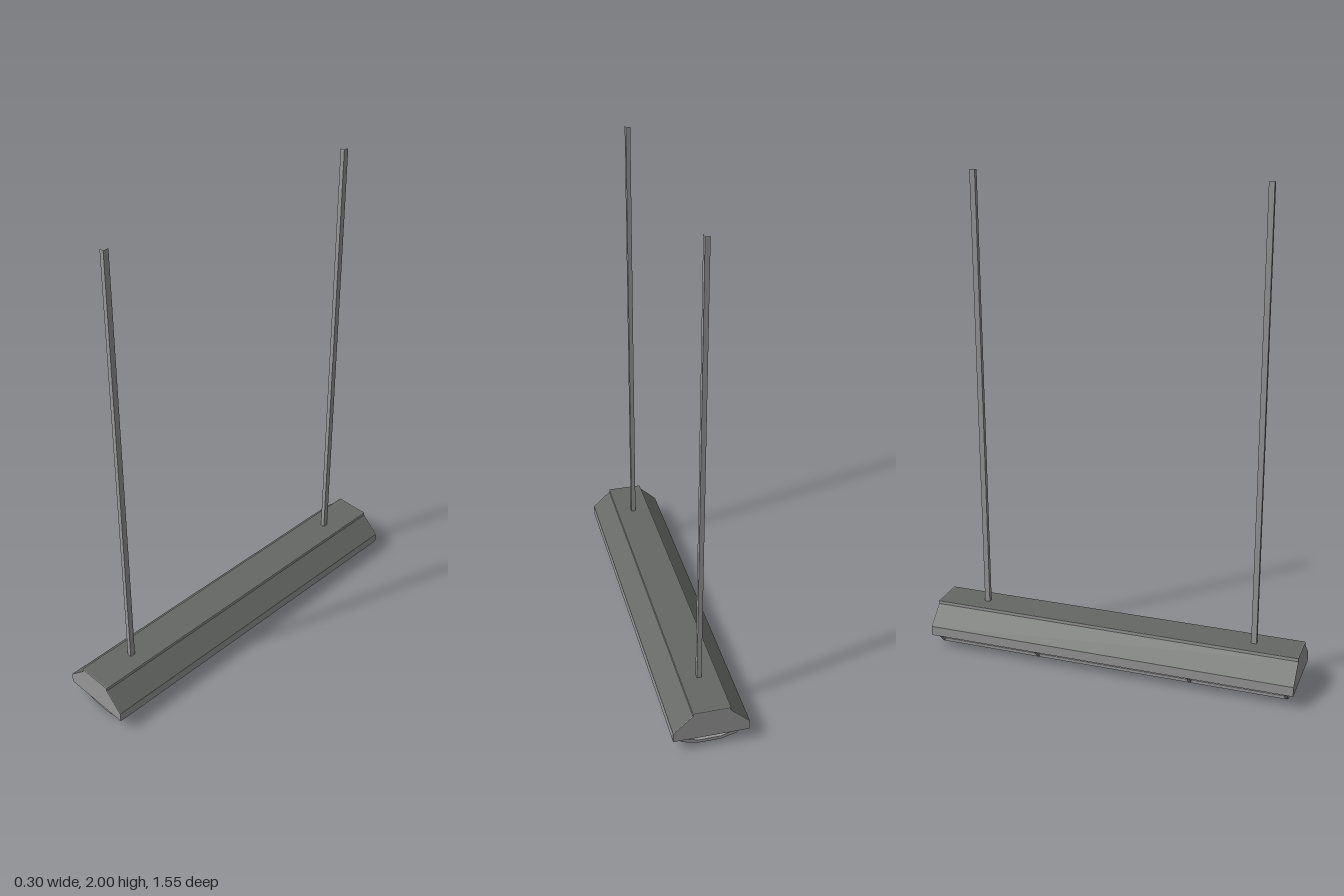
import * as THREE from 'three';

const paint = (name, color) => new THREE.MeshStandardMaterial({ name, color });

export function createModel() {
  const model = new THREE.Group();
  model.name = 'hangingLamp';
  const grey = paint('metalGrey', 0x989898);
  const roofGrey = paint('roofGrey', 0x656864);
  const pale = paint('reflectorPale', 0xc8c8c8);
  const white = paint('tubeWhite', 0xe6e6e6);

  const add = (name, geometry, material, x = 0, y = 0, z = 0) => {
    const mesh = new THREE.Mesh(geometry, material);
    mesh.name = name;
    mesh.position.set(x, y, z);
    model.add(mesh);
    return mesh;
  };
  // Cross-section in x and y, extruded along z and centred
  const prism = (points, length) => {
    const shape = new THREE.Shape(points.map(([x, y]) => new THREE.Vector2(x, y)));
    return new THREE.ExtrudeGeometry(shape, { depth: length, bevelEnabled: false }).translate(0, 0, -length / 2);
  };
  const LENGTH = 1.544, CAP = 0.003;

  // Sloping roof of the housing with a raised flat top
  const roof = [[-0.15, 0.1], [0.15, 0.1], [0.073, 0.172], [0.073, 0.185], [-0.073, 0.185], [-0.073, 0.172]];
  add('roof', prism(roof, LENGTH), roofGrey);

  // End caps, lower lips and the upright edges of the raised top
  const cap = [[-0.15, 0.06], [0.15, 0.06], ...roof.slice(1), [-0.15, 0.1]];
  for (const s of [1, -1]) {
    add('endCap', prism(cap, CAP), grey, 0, 0, s * (LENGTH + CAP) / 2);
    add('sideLip', new THREE.BoxGeometry(0.012, 0.04, LENGTH), grey, s * 0.144, 0.08, 0);
    add('crownEdge', new THREE.BoxGeometry(0.001, 0.013, LENGTH), grey, s * 0.0735, 0.1785, 0);
  }

  // Reflector and two lamp tubes inside the housing
  add('reflector', new THREE.BoxGeometry(0.276, 0.006, LENGTH), pale, 0, 0.097, 0);
  for (const x of [-0.065, 0.065]) {
    add('lampTube', new THREE.CylinderGeometry(0.016, 0.016, 1.5, 12).rotateX(Math.PI / 2), white, x, 0.077, 0);
  }

  // Guard ribs: faceted hoops under the housing
  const outer = [[-0.145, 0.06], [-0.108, 0.022], [-0.045, 0.004], [0.045, 0.004], [0.108, 0.022], [0.145, 0.06]];
  const inner = [[0.13, 0.06], [0.1, 0.035], [0.043, 0.018], [-0.043, 0.018], [-0.1, 0.035], [-0.13, 0.06]];
  for (const z of [0.743, 0.35, -0.305, -0.74]) {
    add('guardRib', prism([...outer, ...inner], 0.012), grey, 0, 0, z);
  }

  // Guard rails along the lamp
  for (const [x, y] of [[-0.103, 0.027], [-0.044, 0.011], [0.044, 0.011], [0.103, 0.027]]) {
    add('guardRail', new THREE.BoxGeometry(0.014, 0.013, 1.49), grey, x, y, 0);
  }

  // Suspension rods: slim rectangular tubes
  const rod = new THREE.CylinderGeometry(Math.SQRT1_2, Math.SQRT1_2, 1.815, 4, 1, true)
    .rotateY(Math.PI / 4).scale(0.018, 1, 0.022).toNonIndexed();
  rod.computeVertexNormals();
  for (const z of [0.583, -0.578]) add('suspensionRod', rod, grey, 0, 1.0925, z);

  return model;
}
